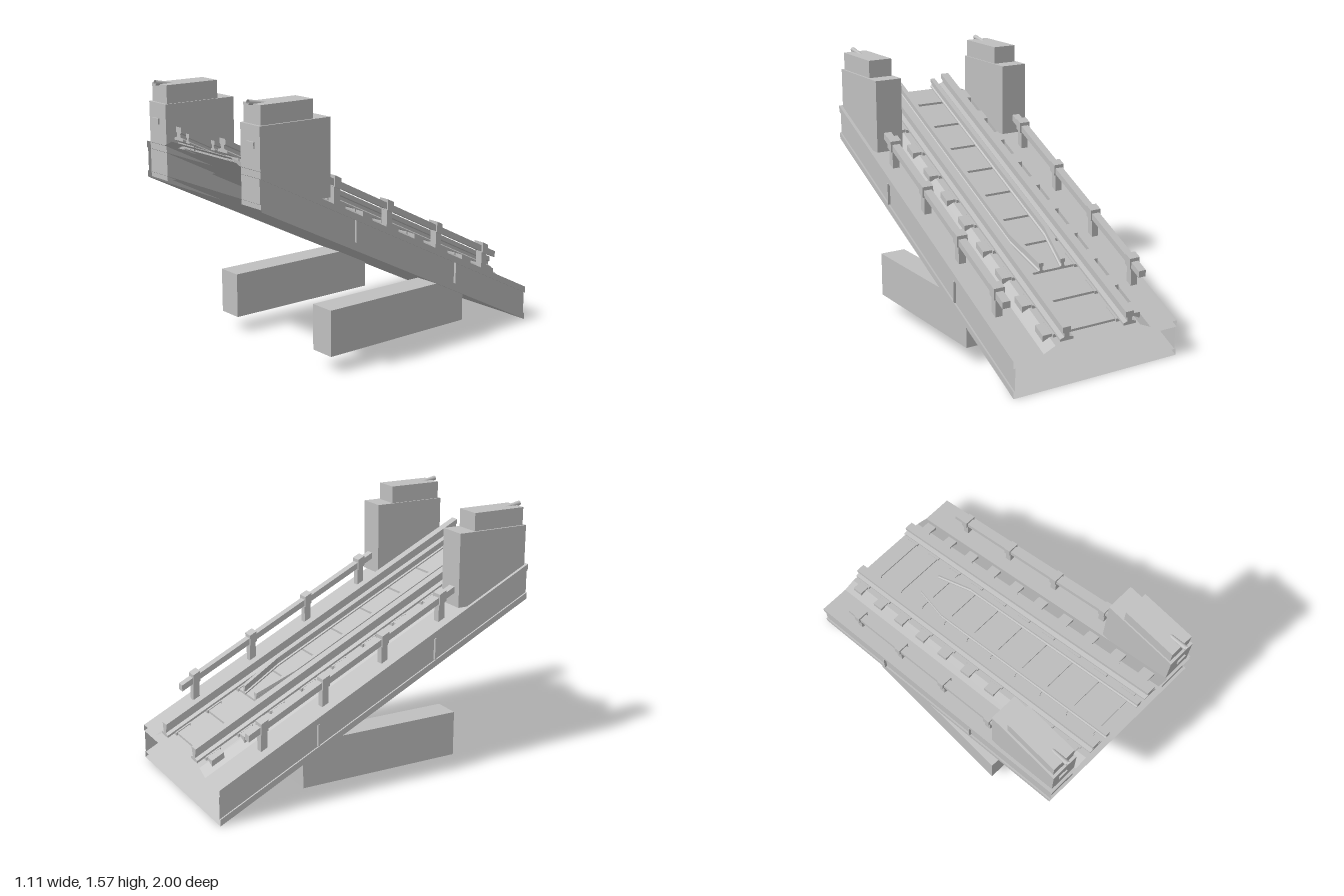
import * as THREE from 'three';

const SLOPE = 0.5;

export function createModel() {
  const root = new THREE.Group();
  root.name = 'railRampBridge';
  const grey = new THREE.MeshStandardMaterial({ color: 0xc0c0c0, side: THREE.DoubleSide });
  grey.name = 'light grey';

  // Shear that turns level parts into the ramp: y += SLOPE * (z + 1)
  const shear = new THREE.Matrix4().set(1, 0, 0, 0, 0, 1, SLOPE, SLOPE, 0, 0, 1, 0, 0, 0, 0, 1);

  function add(name, geo, sloped = false) {
    if (sloped) geo.applyMatrix4(shear);
    const mesh = new THREE.Mesh(geo, grey);
    mesh.name = name;
    root.add(mesh);
    return mesh;
  }

  // Box given by its limits on each axis
  function box(name, x0, x1, y0, y1, z0, z1, sloped = false) {
    const g = new THREE.BoxGeometry(Math.abs(x1 - x0), y1 - y0, z1 - z0);
    g.translate((x0 + x1) / 2, (y0 + y1) / 2, (z0 + z1) / 2);
    return add(name, g, sloped);
  }

  // Open-ended thin sheet following a cross-section along z
  function sheet(name, pts) {
    const pos = [];
    for (let i = 0; i < pts.length - 1; i++) {
      const [ax, ay] = pts[i], [bx, by] = pts[i + 1];
      pos.push(ax, ay, -1, ax, ay, 1, bx, by, 1, ax, ay, -1, bx, by, 1, bx, by, -1);
    }
    const g = new THREE.BufferGeometry();
    g.setAttribute('position', new THREE.Float32BufferAttribute(pos, 3));
    g.computeVertexNormals();
    return add(name, g, true);
  }

  // Solid rail with a foot, web and head, optionally drifting sideways towards z0
  function rail(name, x, half, z0, z1, drift = 0) {
    const shape = new THREE.Shape(half.map(([px, py]) => new THREE.Vector2(px, py))
      .concat(half.slice().reverse().map(([px, py]) => new THREE.Vector2(-px, py))));
    const g = new THREE.ExtrudeGeometry(shape, { depth: z1 - z0, bevelEnabled: false });
    g.translate(0, 0, z0);
    const k = drift / (z1 - z0);
    g.applyMatrix4(new THREE.Matrix4().set(1, 0, -k, x + k * z1, 0, 1, 0, 0, 0, 0, 1, 0, 0, 0, 0, 1));
    add(name, g, true);
  }

  // Hollow deck: upper and lower flanges joined by side webs
  const flange = (y0, y1) => [[-0.55, y0], [0.55, y0], [0.55, y1], [-0.55, y1], [-0.55, y0]];
  sheet('lowerFlange', flange(0, 0.038));
  sheet('upperFlange', flange(0.172, 0.21));

  // Raised track bed
  sheet('trackBed', [[0.36, 0.211], [0.285, 0.243], [-0.285, 0.243], [-0.36, 0.211]]);

  // Sleepers with end chairs
  for (let i = 0; i < 10; i++) {
    const z = -0.905 + 0.2 * i;
    box('sleeper', -0.32, 0.32, 0.232, 0.256, z - 0.037, z + 0.037, true);
    for (const s of [-1, 1]) {
      box('railChair', s * 0.155, s * 0.268, 0.235, 0.261, z - 0.045, z + 0.045, true);
      box('sleeperEnd', s * 0.262, s * 0.328, 0.225, 0.26, z - 0.037, z + 0.037, true);
    }
  }

  const mainProfile = [[0.043, 0.259], [0.043, 0.272], [0.016, 0.28], [0.016, 0.3], [0.027, 0.306], [0.027, 0.335]];
  const checkProfile = [[0.017, 0.257], [0.017, 0.265], [0.008, 0.27], [0.008, 0.285], [0.015, 0.29], [0.015, 0.31]];

  for (const s of [-1, 1]) {
    // Girder sides
    sheet('sideWeb', [[s * 0.54, 0.038], [s * 0.54, 0.172]]);
    for (const z of [0.365, -0.395]) {
      box('webStiffener', s * 0.54, s * 0.556, 0.045, 0.172, z - 0.004, z + 0.004, true);
    }

    // Running rail and inner check rail with a converging tip
    rail('runningRail', s * 0.212, mainProfile, -1, 1);
    rail('checkRail', s * 0.122, checkProfile, -0.31, 1);
    rail('checkRailTip', s * 0.122, checkProfile, -0.55, -0.31, -s * 0.048);

    // Side guard rail on posts
    box('guardRail', s * 0.435, s * 0.485, 0.318, 0.356, -0.79, 0.54, true);
    for (const z of [0.447, 0.067, -0.315, -0.697]) {
      box('guardPost', s * 0.437, s * 0.483, 0.205, 0.33, z - 0.02, z + 0.02, true);
      box('guardPostCap', s * 0.425, s * 0.495, 0.312, 0.376, z - 0.022, z + 0.022, true);
    }

    // End tower with stepped top, front plate and horn
    box('tower', s * 0.36, s * 0.53, 1.005, 1.44, 0.53, 0.988);
    box('towerTop', s * 0.368, s * 0.518, 1.44, 1.545, 0.635, 0.972);
    box('towerPlate', s * 0.428, s * 0.485, 1.318, 1.353, 0.988, 0.997);
    const horn = new THREE.CylinderGeometry(0.015, 0.01, 0.115, 8, 1, true);
    horn.rotateX(Math.PI / 2 - 0.16);
    horn.translate(s * 0.445, 1.545, 0.941);
    add('horn', horn);

    // Foundation beam
    box('foundationBeam', s * 0.367, s * 0.525, 0.1, 0.367, -0.48, 0.525);
  }
  return root;
}
